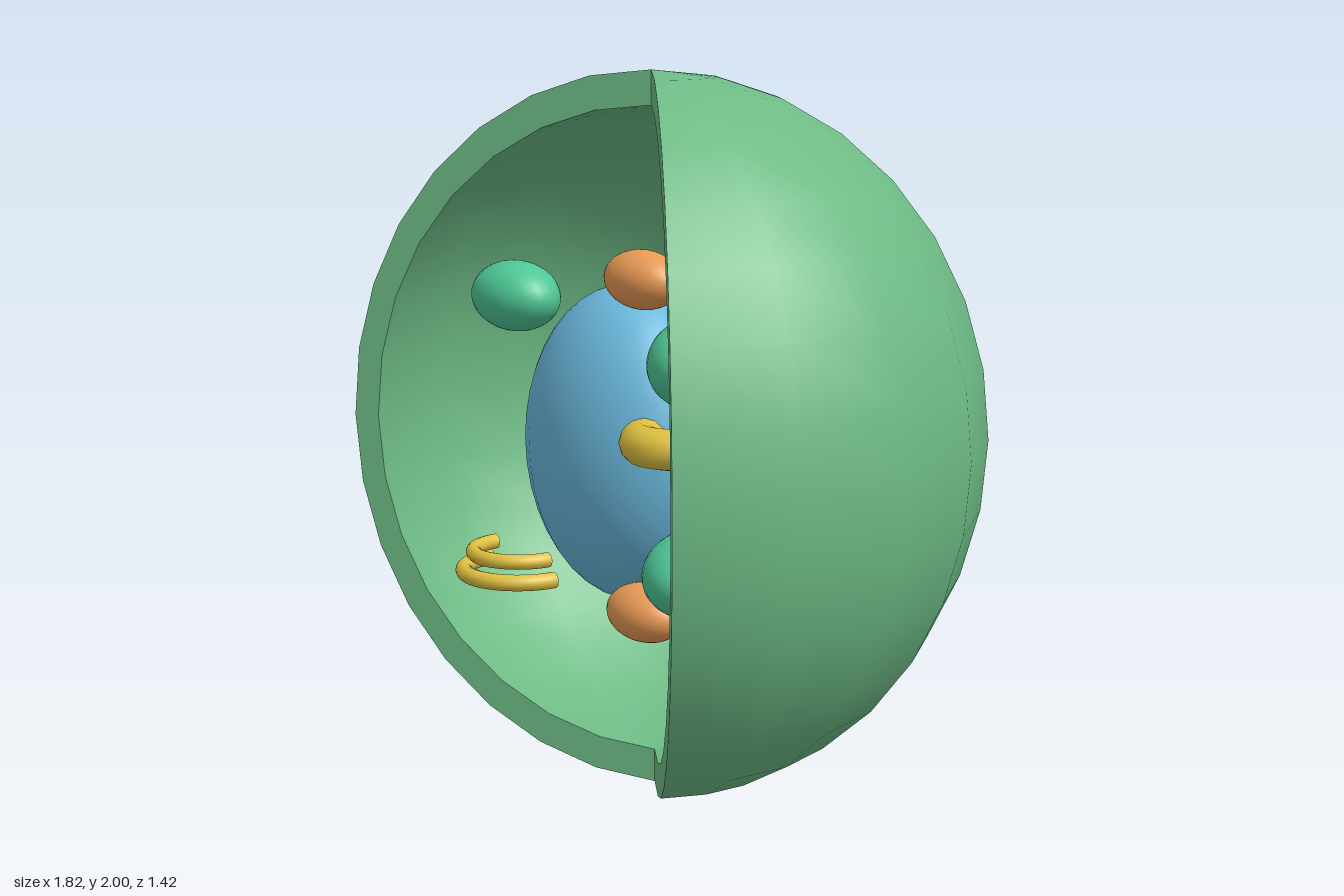
import * as THREE from 'three';

const CUT = THREE.MathUtils.degToRad(57.1); // half angle of the open wedge
const AXIS_Z = 0.21;

const paint = (color, side = THREE.FrontSide) => new THREE.MeshStandardMaterial({ color, side });

function add(parent, name, geometry, material, x = 0, y = 0, z = 0) {
  const mesh = new THREE.Mesh(geometry, material);
  mesh.name = name;
  mesh.position.set(x, y, z);
  parent.add(mesh);
  return mesh;
}

// Half ellipse from bottom pole to top pole
function halfEllipse(rx, ry, steps = 16) {
  return Array.from({ length: steps + 1 }, (_, i) => {
    const t = (i / steps - 0.5) * Math.PI;
    return new THREE.Vector2(Math.max(0, rx * Math.cos(t)), ry * Math.sin(t));
  });
}

// Smooth ellipsoid
function ellipsoid(parent, name, material, [x, y, z], [rx, ry, rz], turn = 0) {
  const geometry = new THREE.SphereGeometry(1, 28, 20).scale(rx, ry, rz).rotateY(turn);
  return add(parent, name, geometry, material, x, y, z);
}

// Horizontal half ring bulging to the front, with closed ends
function frontArc(parent, name, material, [x, y, z], radius, tube) {
  const group = new THREE.Group();
  group.name = name;
  group.position.set(x, y, z);
  add(group, name + 'Tube', new THREE.TorusGeometry(radius, tube, 12, 24, Math.PI).rotateX(Math.PI / 2), material);
  for (const s of [-1, 1]) {
    add(group, name + 'End', new THREE.CircleGeometry(tube, 12).rotateY(Math.PI), material, s * radius, 0, 0);
  }
  parent.add(group);
}

export function createModel() {
  const model = new THREE.Group();
  model.name = 'cutawayCell';

  const green = paint(0x6dbb85, THREE.DoubleSide);
  const blue = paint(0x6ab8dc);
  const mint = paint(0x4fc796);
  const orange = paint(0xe89a55);
  const yellow = paint(0xe0c040, THREE.DoubleSide);
  const purple = paint(0xb87fe0, THREE.DoubleSide);

  // Thick outer wall with a wedge left open at the front
  const wall = new THREE.Group();
  wall.name = 'cellWall';
  wall.position.set(0, 1, AXIS_Z);
  model.add(wall);
  const outer = halfEllipse(0.92, 1);
  const inner = halfEllipse(0.846, 0.905).reverse();
  const sweep = 2 * Math.PI - 2 * CUT;
  add(wall, 'outerWall', new THREE.LatheGeometry(outer, 12, CUT, sweep), green);
  add(wall, 'innerWall', new THREE.LatheGeometry(inner, 12, CUT, sweep), green);

  // Rims closing the wall along both cut edges
  const rim = new THREE.ShapeGeometry(new THREE.Shape([...outer, ...inner]));
  for (const s of [1, -1]) {
    add(wall, s > 0 ? 'leftRim' : 'rightRim', rim, green).rotation.y = s * CUT - Math.PI / 2;
  }

  // Nucleus
  ellipsoid(model, 'nucleus', blue, [-0.14, 0.955, 0.19], [0.36, 0.447, 0.26]);

  // Bean-shaped bodies around the nucleus
  ellipsoid(model, 'mitochondrion', mint, [-0.43, 1.355, 0.375], [0.16, 0.1, 0.11]);
  ellipsoid(model, 'mitochondrion', mint, [0.36, 1.265, 0.345], [0.17, 0.115, 0.115], -Math.PI / 4);
  ellipsoid(model, 'mitochondrion', mint, [0.36, 0.705, 0.345], [0.205, 0.11, 0.13], -Math.PI / 4);
  ellipsoid(model, 'vesicle', orange, [0.11, 1.455, 0.32], [0.135, 0.08, 0.085]);
  ellipsoid(model, 'vesicle', orange, [0.085, 0.53, 0.3], [0.135, 0.08, 0.09]);

  // Curved yellow tubes: one thick, two thin and stacked
  frontArc(model, 'thickTubule', yellow, [0.23, 1.03, 0.29], 0.105, 0.056);
  frontArc(model, 'lowerTubule', yellow, [-0.405, 0.567, 0.385], 0.167, 0.024);
  frontArc(model, 'upperTubule', yellow, [-0.405, 0.62, 0.385], 0.138, 0.022);

  // Purple folded membrane: open ring around a disc with a core
  const membrane = new THREE.Group();
  membrane.name = 'membraneFolds';
  membrane.position.set(0.285, 1.02, 0.05);
  model.add(membrane);
  const arc = THREE.MathUtils.degToRad(250);
  add(membrane, 'membraneRing', new THREE.TorusGeometry(0.203, 0.033, 12, 32, arc).rotateZ(-arc / 2), purple);
  ellipsoid(membrane, 'membraneDisc', purple, [0, 0, -0.01], [0.175, 0.175, 0.04]);
  ellipsoid(membrane, 'membraneCore', purple, [0, 0.01, 0.02], [0.085, 0.085, 0.085]);

  return model;
}
